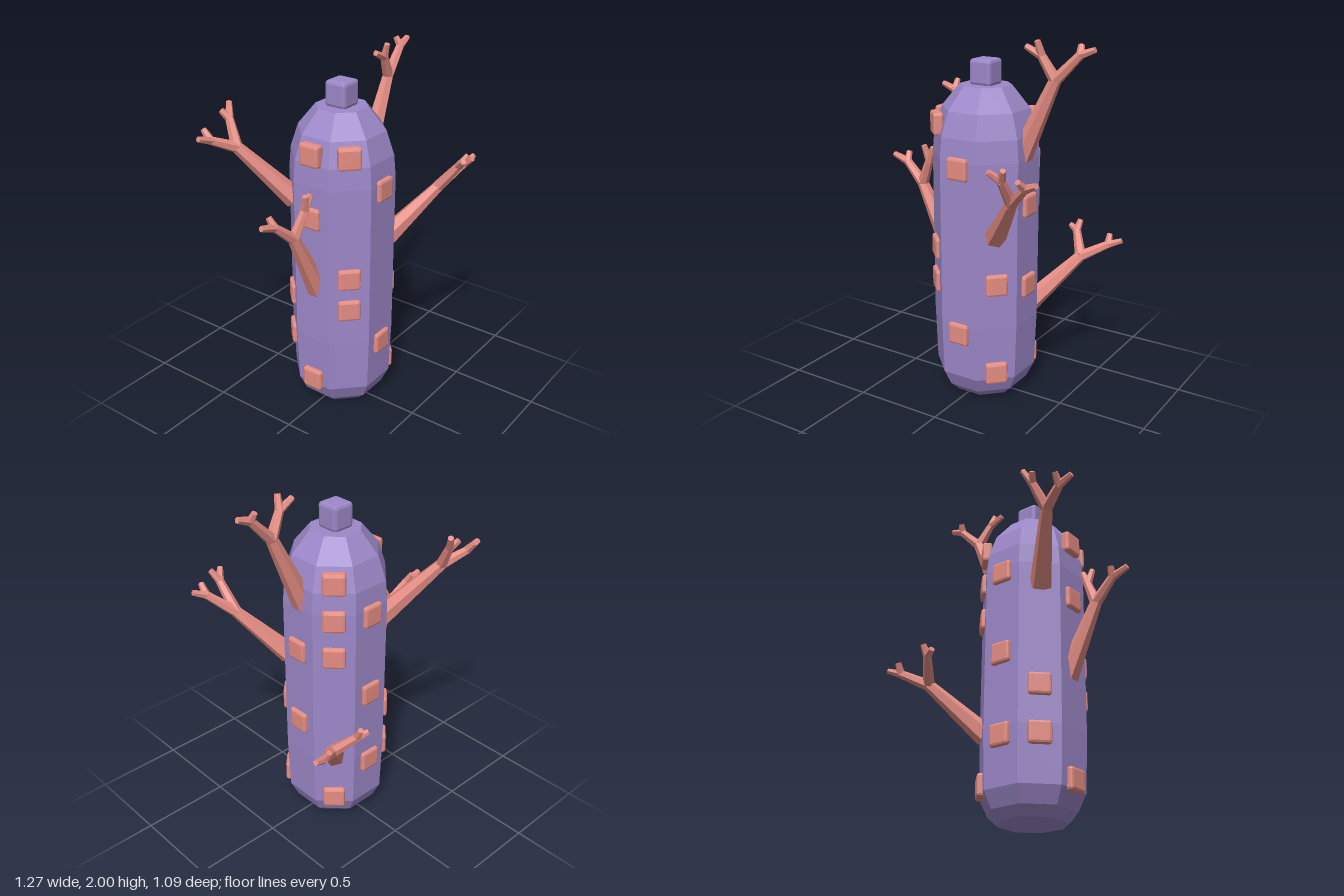
import * as THREE from 'three';
import { RoundedBoxGeometry } from 'three/addons/geometries/RoundedBoxGeometry.js';

const CX = 0.005, CZ = -0.005;
const UP = new THREE.Vector3(0, 1, 0);

export function createModel() {
  const model = new THREE.Group();
  const purple = new THREE.MeshStandardMaterial({ color: 0x9d88c9, flatShading: true });
  const pink = new THREE.MeshStandardMaterial({ color: 0xe58d83, flatShading: true });

  const add = (parent, name, geometry, material) => {
    const mesh = new THREE.Mesh(geometry, material);
    mesh.name = name;
    parent.add(mesh);
    return mesh;
  };

  // Eight-sided body; the profile gives distance to the flat faces, and height
  const profile = [[0, 0], [0.17, 0], [0.22, 0.05], [0.26, 0.14], [0.27, 0.45], [0.27, 1.37],
    [0.26, 1.49], [0.22, 1.62], [0.13, 1.74], [0, 1.74]]
    .map(([r, y]) => new THREE.Vector2(r / Math.cos(Math.PI / 8), y));
  const body = add(model, 'body', new THREE.LatheGeometry(profile, 8).rotateY(Math.PI / 8), purple);
  body.position.set(CX, 0, CZ);

  // Chamfered knob on top
  const knob = add(model, 'topKnob', new RoundedBoxGeometry(0.13, 0.14, 0.13, 1, 0.018), purple);
  knob.position.set(CX, 1.805, CZ);

  // Studs on each of the eight faces, starting at the front and turning towards +x
  const studHeights = [
    [1.335, 0.405],
    [0.705, 0.185],
    [1.12, 0.665],
    [1.545, 1.335, 1.12, 0.185],
    [1.335, 0.855, 0.405],
    [0.66, 0.4],
    [1.545, 1.195, 0.185],
    [1.545, 0.855, 0.665],
  ];
  const studGeometry = new RoundedBoxGeometry(0.122, 0.122, 0.055, 1, 0.014);
  const studs = new THREE.Group();
  studs.name = 'studs';
  model.add(studs);
  studHeights.forEach((heights, i) => {
    const angle = i * Math.PI / 4;
    for (const y of heights) {
      const stud = add(studs, 'stud', studGeometry, pink);
      stud.position.set(CX + 0.264 * Math.sin(angle), y, CZ + 0.264 * Math.cos(angle));
      stud.rotation.y = angle;
    }
  });

  // Tapered six-sided limb between two points
  const limb = (parent, name, from, to, r0, r1) => {
    const a = new THREE.Vector3(...from), b = new THREE.Vector3(...to);
    const dir = b.clone().sub(a);
    const mesh = add(parent, name, new THREE.CylinderGeometry(r1, r0, dir.length(), 6), pink);
    mesh.position.copy(a).add(b).multiplyScalar(0.5);
    mesh.quaternion.setFromUnitVectors(UP, dir.normalize());
  };

  // Each branch: root, fork, then two arms given as [elbow, tip, tip]
  const branches = [
    { name: 'leftBranch', root: [0.23, 1.38, 0], fork: [0.42, 1.795, 0], arms: [
      [[0.35, 1.915, 0.02], [0.262, 1.957, 0.025], [0.338, 1.992, 0.045]],
      [[0.55, 1.93, -0.01], [0.542, 1.977, -0.035], [0.628, 1.96, -0.015]]] },
    { name: 'frontLeftBranch', root: [0.18, 0.97, 0.18], fork: [0.39, 1.24, 0.365], arms: [
      [[0.4, 1.385, 0.48], [0.357, 1.435, 0.53], [0.432, 1.447, 0.515]],
      [[0.515, 1.355, 0.45], [0.505, 1.4, 0.505], [0.585, 1.385, 0.47]]] },
    { name: 'backLeftBranch', root: [0.18, 0.46, -0.18], fork: [0.4, 0.73, -0.395], arms: [
      [[0.32, 0.84, -0.5], [0.267, 0.86, -0.525], [0.327, 0.9, -0.53]],
      [[0.53, 0.8, -0.48], [0.525, 0.855, -0.51], [0.605, 0.83, -0.5]]] },
    { name: 'backRightBranch', root: [-0.18, 1.23, -0.18], fork: [-0.38, 1.535, -0.395], arms: [
      [[-0.345, 1.665, -0.47], [-0.37, 1.71, -0.505], [-0.305, 1.742, -0.505]],
      [[-0.505, 1.595, -0.455], [-0.588, 1.625, -0.46], [-0.51, 1.65, -0.5]]] },
    { name: 'rightBranch', root: [-0.22, 0.75, 0], fork: [-0.415, 1.135, 0], arms: [
      [[-0.35, 1.28, 0.025], [-0.37, 1.37, 0.045], [-0.315, 1.362, 0.035]],
      [[-0.535, 1.24, -0.02], [-0.632, 1.272, -0.023], [-0.545, 1.293, -0.05]]] },
  ];
  for (const { name, root, fork, arms } of branches) {
    const branch = new THREE.Group();
    branch.name = name;
    model.add(branch);
    limb(branch, 'trunk', root, fork, 0.06, 0.032);
    for (const [elbow, ...tips] of arms) {
      limb(branch, 'arm', fork, elbow, 0.032, 0.023);
      for (const tip of tips) limb(branch, 'twig', elbow, tip, 0.023, 0.016);
    }
  }

  return model;
}
